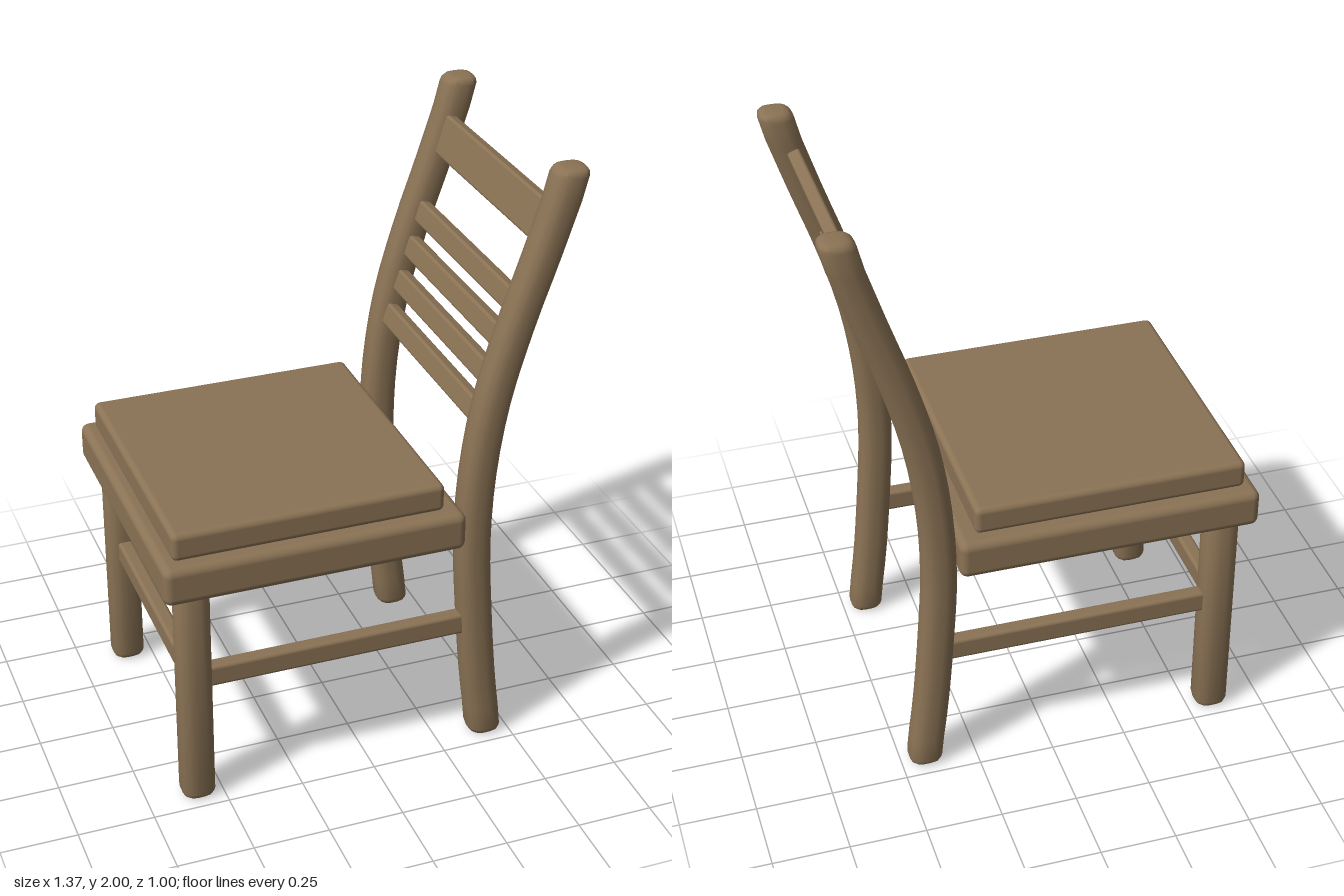
import * as THREE from 'three';
import { toCreasedNormals } from 'three/addons/utils/BufferGeometryUtils.js';
import { RoundedBoxGeometry } from 'three/addons/geometries/RoundedBoxGeometry.js';

const LEG = 0.11;    // leg and post thickness
const LEG_Z = 0.417; // leg distance from the centre line

// Sideways position of a back post at equal height steps from 0 to 2
const POST_X = [0.42, 0.392, 0.371, 0.357, 0.367, 0.405, 0.475, 0.56, 0.632];
const postCurve = new THREE.SplineCurve(POST_X.map((x, i) => new THREE.Vector2(x, i * 0.25)));

// Upright bar with rounded long edges and bevelled ends, standing on y = 0
function uprightBar(height, steps) {
  const bevel = 0.025, r = 0.02, a = LEG / 2 - bevel;
  const s = new THREE.Shape();
  s.moveTo(-a + r, -a);
  s.lineTo(a - r, -a).quadraticCurveTo(a, -a, a, -a + r);
  s.lineTo(a, a - r).quadraticCurveTo(a, a, a - r, a);
  s.lineTo(-a + r, a).quadraticCurveTo(-a, a, -a, a - r);
  s.lineTo(-a, -a + r).quadraticCurveTo(-a, -a, -a + r, -a);
  const g = new THREE.ExtrudeGeometry(s, {
    depth: height - 2 * bevel, steps, curveSegments: 3,
    bevelThickness: bevel, bevelSize: bevel, bevelSegments: 3,
  });
  return g.translate(0, 0, bevel).rotateX(-Math.PI / 2);
}

// Back post: an upright bar shifted along the curve
function curvedPost() {
  const g = uprightBar(2, 24);
  const p = g.attributes.position;
  for (let i = 0; i < p.count; i++) {
    const t = THREE.MathUtils.clamp(p.getY(i) / 2, 0, 1);
    p.setX(i, p.getX(i) + postCurve.getPoint(t).x);
  }
  return toCreasedNormals(g, 0.7);
}

export function createModel() {
  const chair = new THREE.Group();
  chair.name = 'chair';
  const wood = new THREE.MeshStandardMaterial({ color: 0x8b7355 });
  wood.name = 'brown wood';

  function add(name, geometry, x = 0, y = 0, z = 0) {
    const mesh = new THREE.Mesh(geometry, wood);
    mesh.name = name;
    mesh.position.set(x, y, z);
    chair.add(mesh);
    return mesh;
  }
  const box = (w, h, d, r) => new RoundedBoxGeometry(w, h, d, 3, r);

  // Seat frame with a raised panel on top
  add('seat', box(0.99, 0.13, 1, 0.027), -0.19, 0.84, 0);
  add('seatPanel', box(0.89, 0.095, 0.91, 0.02), -0.2, 0.952, 0);

  // Front legs, curved back posts and side stretchers
  const legGeometry = toCreasedNormals(uprightBar(0.8, 1), 0.7);
  const postGeometry = curvedPost();
  for (const [side, sign] of [['A', 1], ['B', -1]]) {
    add('frontLeg' + side, legGeometry, -0.582, 0, sign * LEG_Z);
    add('backPost' + side, postGeometry, 0, 0, sign * LEG_Z);
    add('sideStretcher' + side, box(0.95, 0.075, 0.05, 0.012), -0.105, 0.45, sign * LEG_Z);
  }
  add('frontStretcher', box(0.05, 0.075, 2 * LEG_Z, 0.012), -0.582, 0.45, 0);

  // Back slats and the wide top rail, leaning with the posts
  const slats = [
    ['slat1', 0.383, 1.192, 0.075], ['slat2', 0.42, 1.312, 0.075],
    ['slat3', 0.456, 1.432, 0.075], ['slat4', 0.492, 1.552, 0.075],
    ['topRail', 0.57, 1.812, 0.136],
  ];
  for (const [name, x, y, h] of slats) {
    add(name, box(0.042, h, 2 * LEG_Z, 0.01), x, y, 0).rotation.z = -0.3;
  }
  return chair;
}
